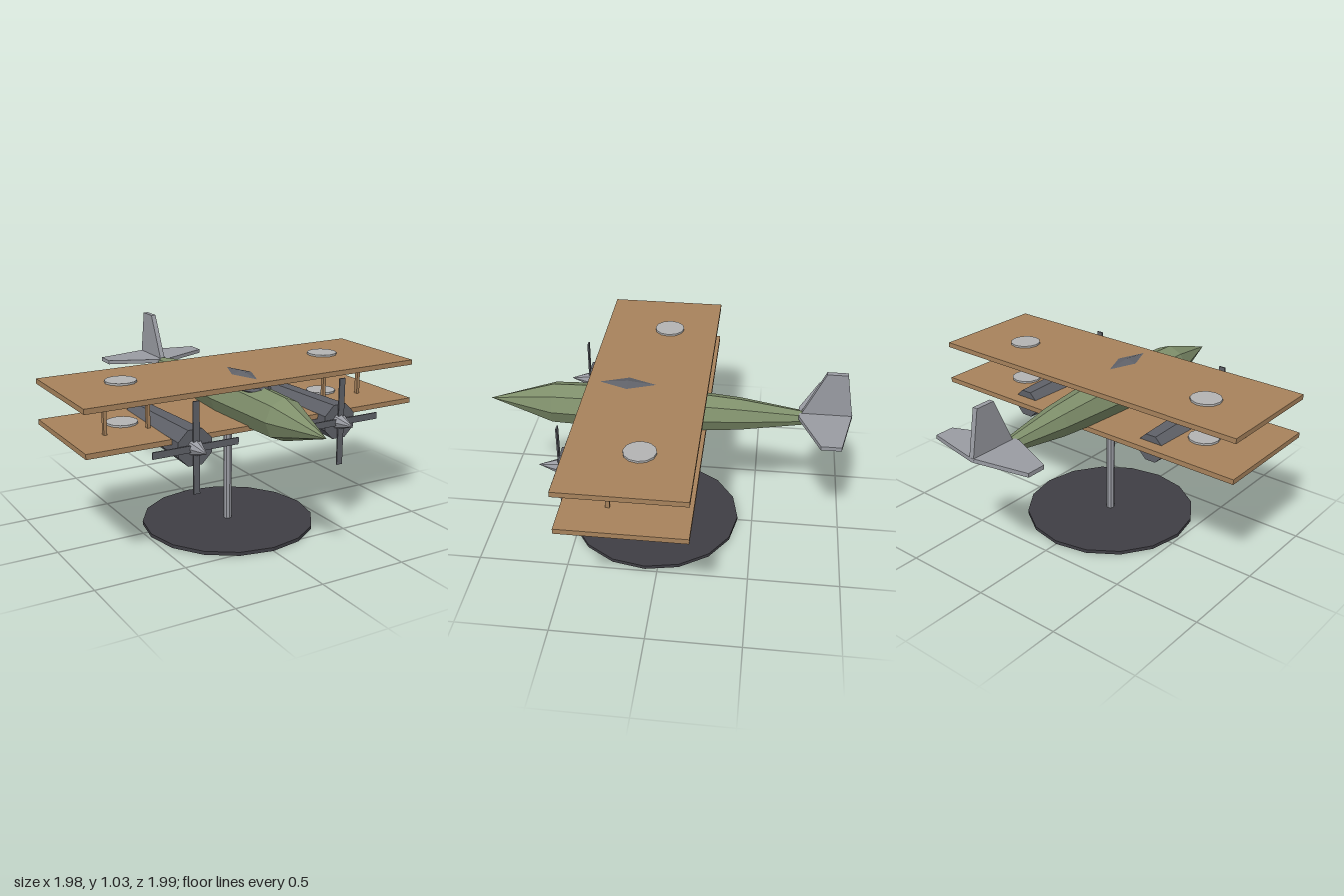
import * as THREE from 'three';

const mat = (color) => new THREE.MeshStandardMaterial({ color, flatShading: true });

export function createModel() {
  const model = new THREE.Group();
  const green = mat(0x7f8f6b), wood = mat(0xa8835c), dark = mat(0x3f3e44);
  const metal = mat(0x9a9ca3), steel = mat(0x5f6168), pale = mat(0xb4b4b4);

  const add = (name, geo, material, x = 0, y = 0, z = 0, parent = model) => {
    const mesh = new THREE.Mesh(geo, material);
    mesh.name = name;
    mesh.position.set(x, y, z);
    parent.add(mesh);
    return mesh;
  };
  const box = (w, h, d) => new THREE.BoxGeometry(w, h, d);
  const plate = (points, depth) => new THREE.ExtrudeGeometry(
    new THREE.Shape(points.map(([x, y]) => new THREE.Vector2(x, y))),
    { depth, bevelEnabled: false });

  // Display stand
  add('standBase', new THREE.CylinderGeometry(0.485, 0.485, 0.02, 16), dark, 0, 0.01, 0.07);
  add('standPole', new THREE.CylinderGeometry(0.024, 0.024, 0.7, 8), metal, 0, 0.35, 0.07);

  // Eight-sided fuselage, tail to nose
  const profile = [[0, -0.87], [0.02, -0.87], [0.09, -0.4], [0.13, 0.1], [0.114, 0.63], [0, 0.99]]
    .map(([r, z]) => new THREE.Vector2(r, z));
  add('fuselage', new THREE.LatheGeometry(profile, 8).rotateX(Math.PI / 2), green, 0, 0.75, 0);

  // Canopy bulging through the upper wing
  add('canopy', new THREE.SphereGeometry(1, 8, 4).rotateX(Math.PI / 2).scale(0.1, 0.065, 0.26),
    steel, 0, 0.85, 0.215);

  // Two wings, each with a pair of round discs
  for (const [name, y] of [['upper', 0.885], ['lower', 0.663]]) {
    add(name + 'Wing', box(1.976, 0.028, 0.655), wood, 0, y, 0.107);
    for (const s of [-1, 1]) {
      add(name + 'WingDisc', new THREE.CylinderGeometry(0.085, 0.085, 0.012, 12),
        pale, s * 0.633, y + 0.019, 0.06);
    }
  }

  for (const s of [-1, 1]) {
    // Wing struts
    for (const x of [0.55, 0.79]) {
      add('wingStrut', box(0.018, 0.2, 0.022), wood, s * x, 0.775, 0.2);
    }

    // Engine with spinner and four-bladed propeller
    const engine = new THREE.Group();
    engine.name = s > 0 ? 'leftEngine' : 'rightEngine';
    engine.position.set(s * 0.44, 0.64, 0);
    model.add(engine);
    add('nacelle', new THREE.CylinderGeometry(0.102, 0.081, 0.655, 8)
      .rotateY(Math.PI / 8).rotateX(Math.PI / 2), steel, 0, 0, 0.177, engine);
    add('spinner', new THREE.ConeGeometry(0.045, 0.125, 8).rotateX(Math.PI / 2),
      metal, 0, 0, 0.565, engine);
    add('propellerAcross', box(0.482, 0.036, 0.008), steel, 0, 0, 0.516, engine);
    add('propellerUpright', box(0.036, 0.482, 0.008), steel, 0, 0, 0.516, engine);
  }

  // Tailplane and fin
  add('tailplane', plate([[0, 1], [-0.315, 0.937], [-0.315, 0.83], [-0.045, 0.715],
    [0.045, 0.715], [0.315, 0.83], [0.315, 0.937]], 0.022).rotateX(-Math.PI / 2),
  metal, 0, 0.764, 0);
  add('fin', plate([[-0.725, 0.775], [-0.845, 1.035], [-0.955, 1.035], [-1, 0.775]], 0.028)
    .rotateY(-Math.PI / 2), metal, 0.014, 0, 0);

  return model;
}
